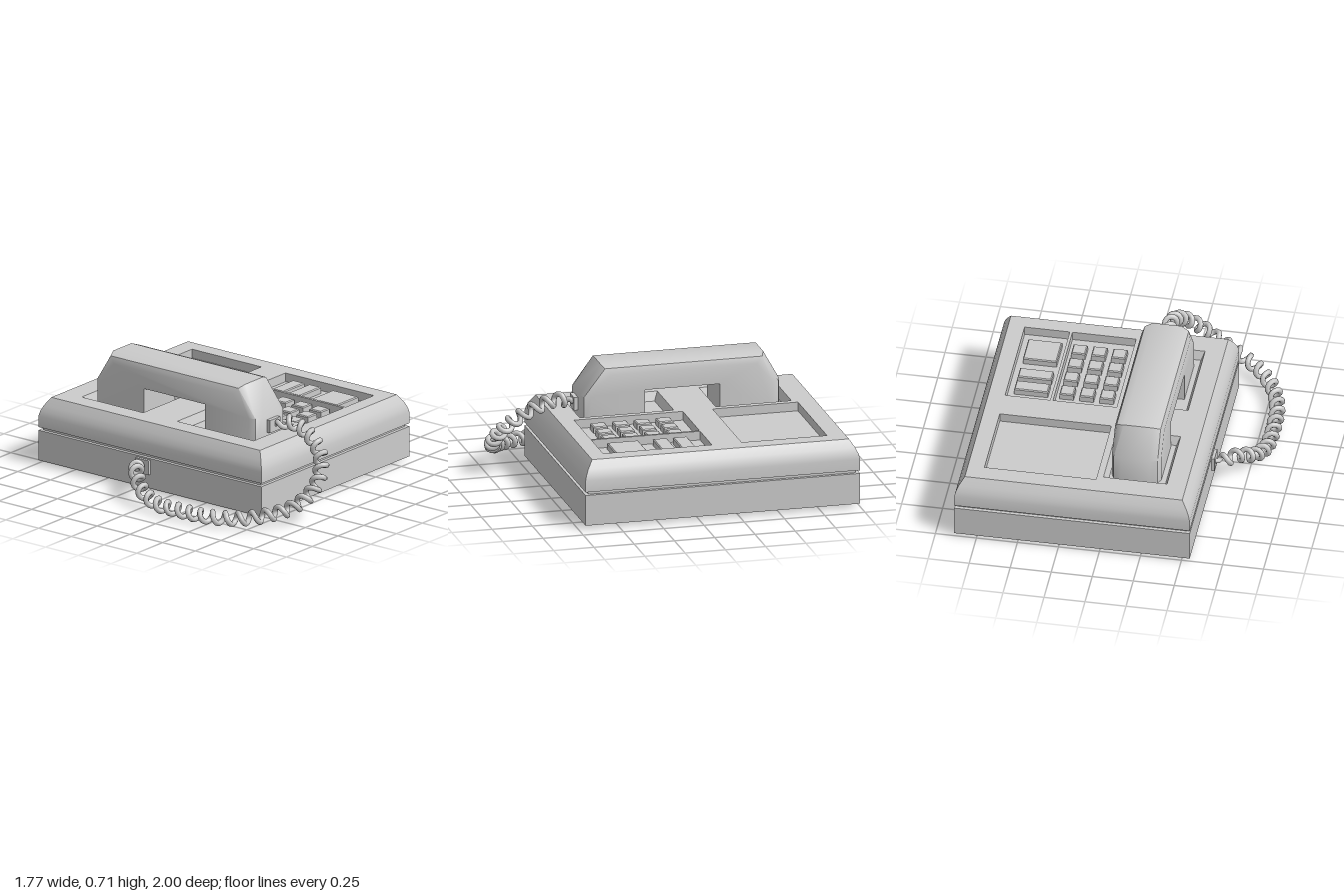
import * as THREE from 'three';
import { toCreasedNormals } from 'three/addons/utils/BufferGeometryUtils.js';

const grey = new THREE.MeshStandardMaterial({ color: 0xcccccc });

function part(parent, name, geometry) {
  const mesh = new THREE.Mesh(geometry, grey);
  mesh.name = name;
  parent.add(mesh);
  return mesh;
}

// Rectangular rings [inset, y] joined into walls; a path going down faces inward.
function rectLoft([x0, x1, z0, z1], rings, topCap = true, bottomCap = false) {
  const pos = [];
  const quad = (a, b, c, d) => pos.push(...a, ...b, ...c, ...a, ...c, ...d);
  const loops = rings.map(([i, y]) => [
    [x0 + i, y, z1 - i], [x1 - i, y, z1 - i], [x1 - i, y, z0 + i], [x0 + i, y, z0 + i],
  ]);
  for (let r = 0; r < loops.length - 1; r++) {
    for (let k = 0; k < 4; k++) {
      const n = (k + 1) % 4;
      quad(loops[r][k], loops[r][n], loops[r + 1][n], loops[r + 1][k]);
    }
  }
  if (topCap) quad(...loops[loops.length - 1]);
  if (bottomCap) quad(...loops[0].slice().reverse());
  const g = new THREE.BufferGeometry();
  g.setAttribute('position', new THREE.Float32BufferAttribute(pos, 3));
  g.computeVertexNormals();
  return toCreasedNormals(g, 0.5);
}

function rectPath(path, [x0, x1, z0, z1]) {
  path.moveTo(x0, -z1);
  path.lineTo(x1, -z1);
  path.lineTo(x1, -z0);
  path.lineTo(x0, -z0);
  path.closePath();
  return path;
}

const TOP = 0.415;
const FLOOR = 0.36;
const OUTER = [-0.55, 0.885, -1, 0.705];

// Recesses in the top: [name, rectangle, wall slope]
const RECESSES = [
  ['displayRecess', [0.05, 0.73, -0.835, -0.305], 0],
  ['keypadRecess', [0.05, 0.438, -0.12, 0.555], 0],
  ['functionRecess', [0.455, 0.73, -0.12, 0.555], 0],
  ['rearCradle', [-0.378, 0.01, -0.805, -0.335], 0.022],
  ['frontCradle', [-0.378, 0.01, -0.075, 0.51], 0.022],
];

function makeBase() {
  const base = new THREE.Group();
  base.name = 'base';
  part(base, 'caseWalls', rectLoft(OUTER, [
    [0, 0.02], [0, 0.21], [0.022, 0.21], [0.022, 0.23], [0, 0.23],
    [0, 0.3], [0.008, 0.332], [0.023, 0.366], [0.055, TOP],
  ], false, true));

  // Top panel pierced by the recesses
  const panel = rectPath(new THREE.Shape(), [-0.495, 0.83, -0.945, 0.65]);
  for (const [, rect] of RECESSES) panel.holes.push(rectPath(new THREE.Path(), rect));
  part(base, 'topPanel', new THREE.ShapeGeometry(panel).rotateX(-Math.PI / 2).translate(0, TOP, 0));
  for (const [name, rect, slope] of RECESSES) {
    part(base, name, rectLoft(rect, [[0, TOP], [slope, FLOOR]]));
  }

  // Keys with small chamfers
  const key = (name, x, z, w, d) => part(base, name,
    rectLoft([x - w / 2, x + w / 2, z - d / 2, z + d / 2],
      [[0, FLOOR], [0, 0.394], [0.006, 0.4]]));
  for (let row = 0; row < 4; row++) {
    for (let col = 0; col < 3; col++) {
      key('numberKey', 0.128 + col * 0.122, 0.015 + row * 0.135, 0.086, 0.09);
    }
  }
  for (const [z, d] of [[0.013, 0.088], [0.137, 0.088], [0.369, 0.195]]) {
    key('functionKey', 0.588, z, 0.206, d);
  }

  // Socket for the cord on the side
  const socket = part(base, 'baseSocket', new THREE.BoxGeometry(0.02, 0.09, 0.1));
  socket.position.set(-0.558, 0.155, -0.195);
  return base;
}

function makeHandset() {
  const handset = new THREE.Group();
  handset.name = 'handset';
  const shape = new THREE.Shape([
    [0.485, FLOOR], [0.485, 0.525], [0.355, 0.71], [-0.655, 0.71], [-0.755, 0.53],
    [-0.755, FLOOR], [-0.37, FLOOR], [-0.37, 0.545], [0.095, 0.545], [0.095, FLOOR],
  ].map(([z, y]) => new THREE.Vector2(-z, y)));
  const g = new THREE.ExtrudeGeometry(shape, { depth: 1, steps: 5, bevelEnabled: false });
  g.rotateY(Math.PI / 2);

  // Spread the slices across the width and round the outer edges towards the sides
  const widths = [-0.15, -0.134, -0.088, 0.088, 0.134, 0.15];
  const drops = [0.055, 0.017, 0, 0, 0.017, 0.055];
  const p = g.attributes.position;
  for (let i = 0; i < p.count; i++) {
    const slice = Math.round(p.getX(i) * 5);
    const y = p.getY(i), z = p.getZ(i), drop = drops[slice];
    p.setX(i, -0.175 + widths[slice]);
    if (y > 0.6) p.setY(i, y - drop);
    if (z > 0.3) p.setZ(i, z - drop);
    if (z < -0.6) p.setZ(i, z + drop);
  }
  part(handset, 'handsetBody', toCreasedNormals(g, 0.8));

  const socket = part(handset, 'handsetSocket', new THREE.BoxGeometry(0.1, 0.08, 0.04));
  socket.position.set(-0.17, 0.46, 0.49);
  return handset;
}

// Helix wound round a guide curve, flattening out at both ends
class CoilCurve extends THREE.Curve {
  constructor(guide, turns, radius) {
    super();
    Object.assign(this, { guide, turns, radius });
  }
  getPoint(t, target = new THREE.Vector3()) {
    const tangent = this.guide.getTangentAt(t);
    const side = new THREE.Vector3(0, 1, 0).cross(tangent).normalize();
    const up = tangent.clone().cross(side);
    const r = this.radius * Math.min(1, t / 0.03, (1 - t) / 0.03);
    const a = t * this.turns * Math.PI * 2;
    return target.copy(this.guide.getPointAt(t))
      .addScaledVector(side, r * Math.cos(a))
      .addScaledVector(up, r * Math.sin(a));
  }
}

function makeCord() {
  const guide = new THREE.CatmullRomCurve3([
    [-0.16, 0.46, 0.5], [-0.14, 0.49, 0.61], [-0.15, 0.44, 0.76], [-0.2, 0.35, 0.88],
    [-0.29, 0.25, 0.94], [-0.39, 0.17, 0.945], [-0.52, 0.11, 0.905], [-0.65, 0.08, 0.82],
    [-0.76, 0.06, 0.68], [-0.82, 0.052, 0.5], [-0.832, 0.052, 0.3], [-0.825, 0.055, 0.12],
    [-0.78, 0.1, -0.03], [-0.69, 0.165, -0.14], [-0.62, 0.165, -0.19], [-0.555, 0.155, -0.195],
  ].map((v) => new THREE.Vector3(...v)));
  guide.arcLengthDivisions = 800;
  const coil = new CoilCurve(guide, 27, 0.034);
  return new THREE.TubeGeometry(coil, 27 * 14, 0.017, 7);
}

export function createModel() {
  const model = new THREE.Group();
  model.name = 'deskTelephone';
  model.add(makeBase(), makeHandset());
  part(model, 'coiledCord', makeCord());
  return model;
}
